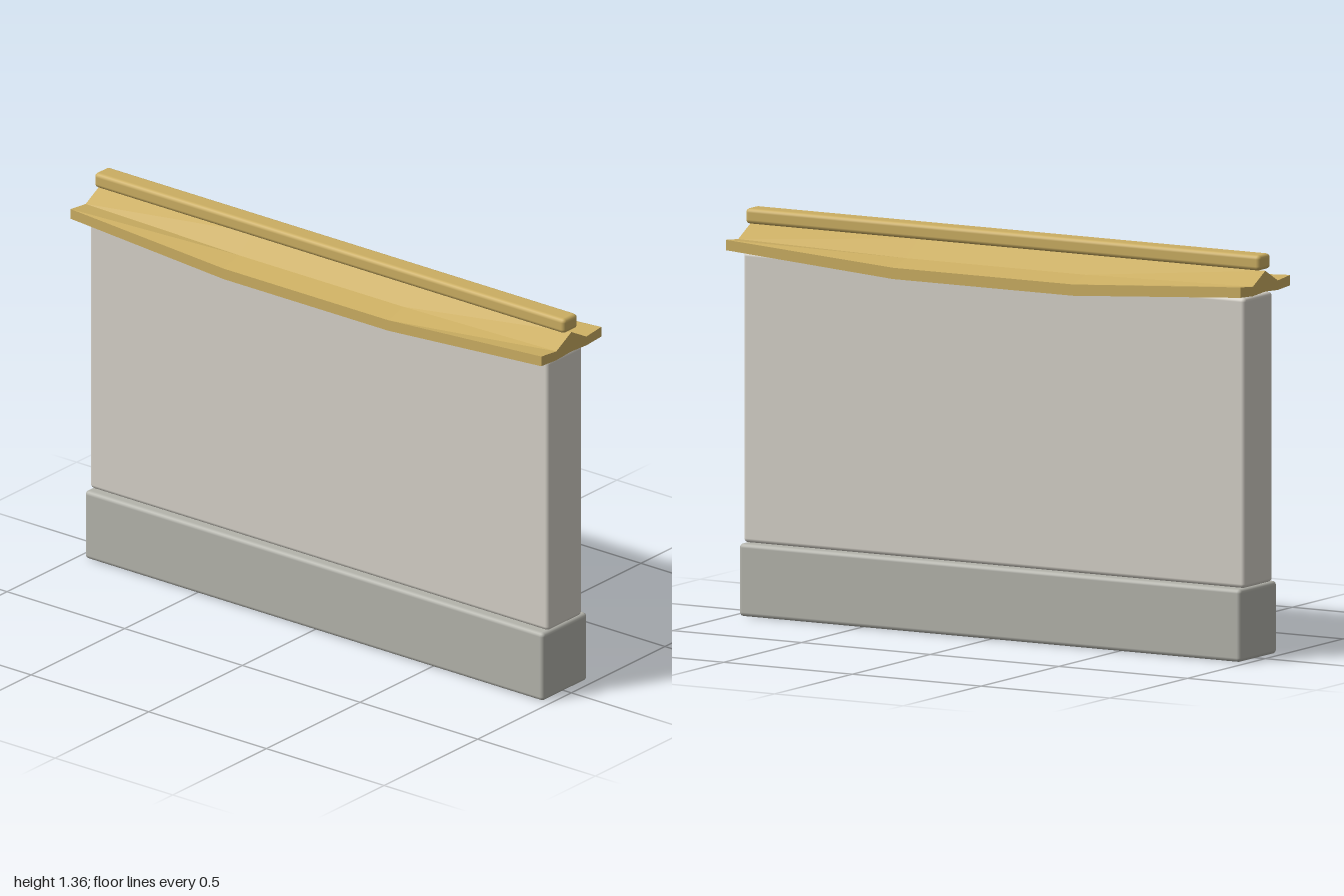
import * as THREE from 'three';
import { RoundedBoxGeometry } from 'three/addons/geometries/RoundedBoxGeometry.js';

const stone = new THREE.MeshStandardMaterial({ color: 0xb4b4ac });
const plaster = new THREE.MeshStandardMaterial({ color: 0xd5d1c8 });
const gold = new THREE.MeshStandardMaterial({ color: 0xcbae62 });
const tile = new THREE.MeshStandardMaterial({ color: 0xcbae62, flatShading: true });

function block(name, w, y0, y1, d, radius, material) {
  const mesh = new THREE.Mesh(new RoundedBoxGeometry(w, y1 - y0, d, 2, radius), material);
  mesh.name = name;
  mesh.position.y = (y0 + y1) / 2;
  return mesh;
}

// Roof: cross-sections along x; the eaves sag in the middle and lift at the ends
function roofGeometry() {
  const section = (x, crease, eave, underEave, underCrease) => [
    [-0.16, eave], [-0.08, crease], [0, 1.305], [0.08, crease], [0.16, eave],
    [0.16, underEave], [0.08, underCrease], [0, 1.235], [-0.08, underCrease], [-0.16, underEave],
  ].map(([z, y]) => [x, y, z]);
  const end = [1.262, 1.27, 1.235, 1.23];
  const middle = [1.25, 1.228, 1.19, 1.212];
  const rings = [
    section(-1, ...end), section(-0.35, ...middle),
    section(0.35, ...middle), section(1, ...end),
  ];
  const n = rings[0].length;
  const index = [];
  for (let i = 0; i < rings.length - 1; i++) {
    for (let k = 0; k < n; k++) {
      const a = i * n + k, b = i * n + (k + 1) % n, c = a + n, d = b + n;
      index.push(a, b, c, b, d, c);
    }
  }
  // End caps, split into strips between the upper and lower edges
  const last = (rings.length - 1) * n;
  for (let k = 0; k < 4; k++) {
    const a = k, b = k + 1, c = n - 1 - k, d = n - 2 - k;
    index.push(a, c, b, b, c, d);
    index.push(last + a, last + b, last + c, last + b, last + d, last + c);
  }
  const geometry = new THREE.BufferGeometry();
  geometry.setAttribute('position', new THREE.Float32BufferAttribute(rings.flat(2), 3));
  geometry.setIndex(index);
  const flat = geometry.toNonIndexed();
  flat.computeVertexNormals();
  return flat;
}

export function createModel() {
  const group = new THREE.Group();
  group.name = 'roofedWall';
  group.add(block('base', 1.95, 0, 0.245, 0.24, 0.014, stone));
  group.add(block('wallPanel', 1.95, 0.245, 1.222, 0.184, 0.014, plaster));
  const roof = new THREE.Mesh(roofGeometry(), tile);
  roof.name = 'roof';
  group.add(roof);
  group.add(block('ridgeBeam', 2, 1.308, 1.36, 0.076, 0.014, gold));
  return group;
}
